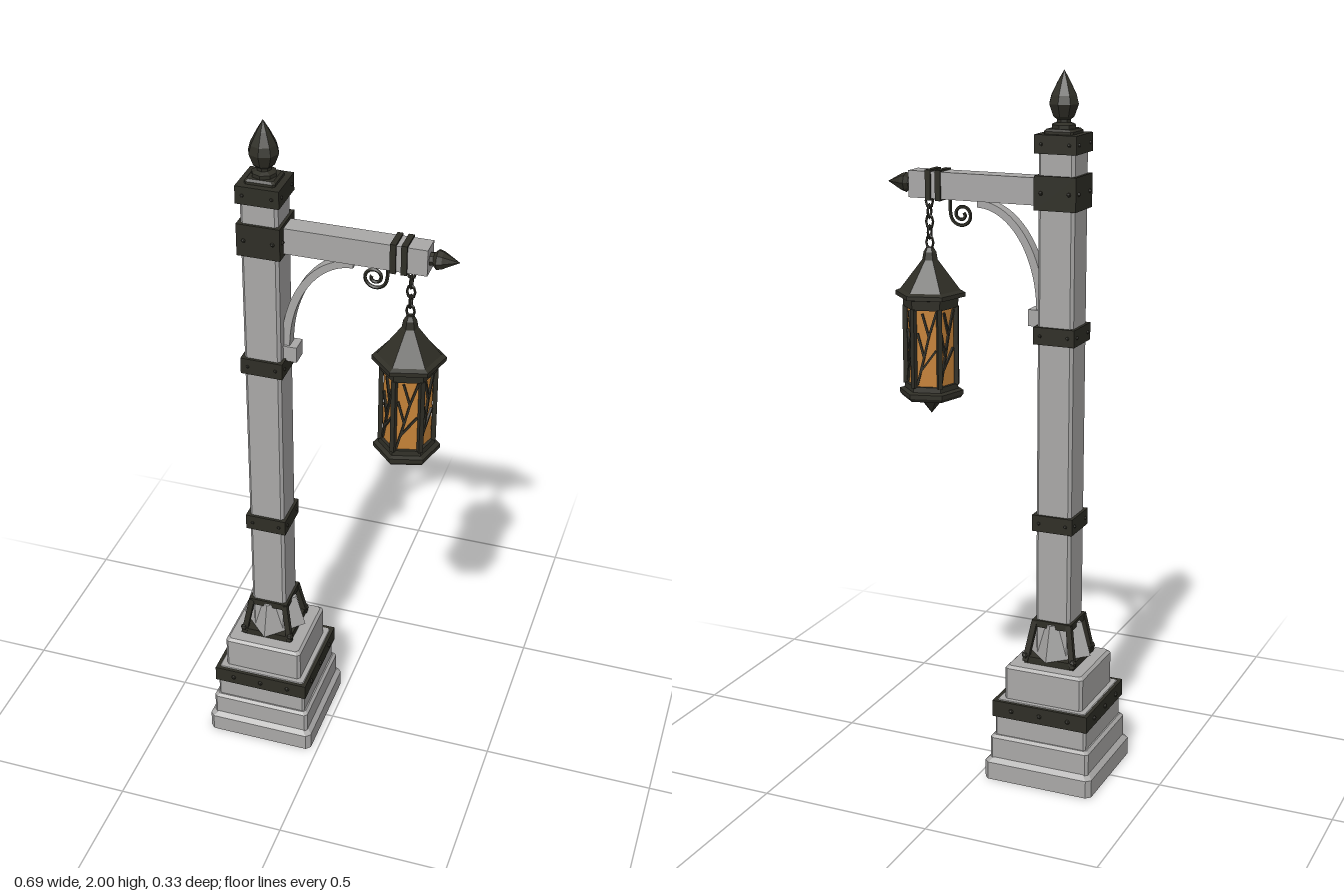
import * as THREE from 'three';
import { ConvexGeometry } from 'three/addons/geometries/ConvexGeometry.js';

const stone = new THREE.MeshStandardMaterial({ color: 0xa9a8a7 });
stone.name = 'stone';
const iron = new THREE.MeshStandardMaterial({ color: 0x2f2e26 });
iron.name = 'dark iron';
const amber = new THREE.MeshStandardMaterial({ color: 0xc58238 });
amber.name = 'amber glass';

const POST_X = -0.185, LAMP_X = 0.213;

// Adds a faceted mesh to a parent.
function add(parent, name, geometry, material, x = 0, y = 0, z = 0) {
  const g = geometry.index ? geometry.toNonIndexed() : geometry;
  g.computeVertexNormals();
  const mesh = new THREE.Mesh(g, material);
  mesh.name = name;
  mesh.position.set(x, y, z);
  parent.add(mesh);
  return mesh;
}

function group(parent, name, x = 0, y = 0, z = 0) {
  const g = new THREE.Group();
  g.name = name;
  g.position.set(x, y, z);
  parent.add(g);
  return g;
}

// Block with chamfered upright edges and a chamfered top rim.
function chamferBlock(half, y0, y1, c) {
  const points = [];
  for (const [y, inset] of [[y0, 0], [y1 - c, 0], [y1, c]]) {
    const h = half - inset;
    for (const sx of [-1, 1]) for (const sz of [-1, 1]) {
      points.push(new THREE.Vector3(sx * h, y, sz * (h - c)), new THREE.Vector3(sx * (h - c), y, sz * h));
    }
  }
  return new ConvexGeometry(points);
}

// Straight square bar between two points.
function bar(parent, name, a, b, width, depth = width) {
  const p = new THREE.Vector3(...a), q = new THREE.Vector3(...b);
  const mesh = add(parent, name, new THREE.BoxGeometry(width, p.distanceTo(q), depth), iron);
  mesh.position.copy(p).add(q).multiplyScalar(0.5);
  mesh.quaternion.setFromUnitVectors(new THREE.Vector3(0, 1, 0), q.sub(p).normalize());
  return mesh;
}

// Square iron band with a row of studs on all four sides.
function band(parent, name, half, y0, y1, studs, r) {
  const g = group(parent, name);
  const h = y1 - y0, y = (y0 + y1) / 2;
  add(g, 'strap', new THREE.BoxGeometry(half * 2, h, half * 2), iron, 0, y, 0);
  for (let side = 0; side < 4; side++) {
    const face = group(g, 'studRow', 0, y, 0);
    face.rotation.y = side * Math.PI / 2;
    for (const s of studs) add(face, 'stud', new THREE.SphereGeometry(r, 6, 4), iron, s, 0, half);
  }
}

function lathe(points, sides) {
  return new THREE.LatheGeometry(points.map(p => new THREE.Vector2(...p)), sides);
}

function buildPost(root) {
  const post = group(root, 'post', POST_X);
  // Stepped plinth
  add(post, 'plinthFoot', chamferBlock(0.163, 0, 0.065, 0.013), stone);
  add(post, 'plinthLower', chamferBlock(0.15, 0.06, 0.133, 0.008), stone);
  add(post, 'plinthMiddle', chamferBlock(0.138, 0.13, 0.24, 0.006), stone);
  add(post, 'plinthUpper', chamferBlock(0.118, 0.23, 0.34, 0.008), stone);
  band(post, 'plinthBand', 0.144, 0.19, 0.238, [-0.086, 0, 0.086], 0.007);

  // Shaft and its bands
  add(post, 'shaft', chamferBlock(0.052, 0.33, 1.83, 0.008), stone);
  band(post, 'lowerBand', 0.06, 0.735, 0.782, [-0.04, 0.04], 0.005);
  band(post, 'middleBand', 0.06, 1.27, 1.318, [-0.04, 0.04], 0.005);
  band(post, 'armBand', 0.06, 1.635, 1.727, [-0.04, 0.04], 0.006);
  band(post, 'topBand', 0.06, 1.785, 1.835, [-0.04, 0.04], 0.005);

  // Flared collar: stone wedges inside an iron cage
  add(post, 'collarWedges', new THREE.CylinderGeometry(0.07, 0.098, 0.1, 4), stone, 0, 0.41, 0);
  add(post, 'collarPlate', new THREE.BoxGeometry(0.15, 0.02, 0.15), iron, 0, 0.35, 0);
  add(post, 'collarRing', new THREE.BoxGeometry(0.118, 0.02, 0.118), iron, 0, 0.458, 0);
  for (const sx of [-1, 1]) for (const sz of [-1, 1]) {
    bar(post, 'collarStrut', [sx * 0.072, 0.345, sz * 0.072], [sx * 0.052, 0.462, sz * 0.052], 0.016);
    add(post, 'strutKnob', new THREE.SphereGeometry(0.011, 6, 4), iron, sx * 0.073, 0.362, sz * 0.073);
  }

  // Finial
  add(post, 'finialBase', chamferBlock(0.042, 1.833, 1.848, 0.006), iron);
  add(post, 'finial', lathe([[0.034, 1.845], [0.034, 1.858], [0.02, 1.864], [0.02, 1.872],
    [0.03, 1.88], [0.042, 1.912], [0.036, 1.935], [0.018, 1.97], [0, 2]], 8), iron);
}

function buildArm(root) {
  const arm = group(root, 'arm');
  add(arm, 'beam', new THREE.BoxGeometry(0.412, 0.074, 0.06), stone, 0.056, 1.68, 0);
  for (const x of [0.171, 0.201]) add(arm, 'beamBand', new THREE.BoxGeometry(0.016, 0.084, 0.07), iron, x, 1.68, 0);
  const tip = add(arm, 'beamTip', lathe([[0, 0], [0.018, 0], [0.018, 0.012], [0.028, 0.022],
    [0.024, 0.036], [0, 0.08]], 8), iron, 0.26, 1.68, 0);
  tip.rotation.z = -Math.PI / 2;

  // Curved brace under the arm
  const brace = new THREE.Shape();
  brace.absellipse(0.06, 1.35, 0.2, 0.295, Math.PI, Math.PI / 2, true);
  brace.absellipse(0.06, 1.35, 0.177, 0.275, Math.PI / 2, Math.PI, false);
  add(arm, 'brace', new THREE.ExtrudeGeometry(brace, { depth: 0.036, bevelEnabled: false, curveSegments: 14 }),
    stone, 0, 0, -0.018);
  add(arm, 'braceFoot', new THREE.BoxGeometry(0.042, 0.046, 0.05), stone, -0.116, 1.334, 0);

  // Scroll hanging below the beam
  const points = [new THREE.Vector3(0.15, 1.645, 0)];
  for (let i = 0; i <= 20; i++) {
    const a = 0 - i / 20 * Math.PI * 3.2, r = 0.034 - 0.026 * i / 20;
    points.push(new THREE.Vector3(0.114 + r * Math.cos(a), 1.6 + r * Math.sin(a), 0));
  }
  add(arm, 'scroll', new THREE.TubeGeometry(new THREE.CatmullRomCurve3(points), 48, 0.005, 5), iron);
}

function buildLantern(root) {
  const lamp = group(root, 'lantern', LAMP_X);
  // Chain of alternating links
  for (let i = 0; i < 5; i++) {
    const link = add(lamp, 'chainLink', new THREE.TorusGeometry(0.011, 0.0035, 5, 8), iron, 0, 1.632 - i * 0.029, 0);
    link.scale.y = 1.6;
    link.rotation.y = i % 2 ? Math.PI / 2 : 0;
  }

  const body = group(lamp, 'lanternBody');
  body.rotation.y = Math.PI / 4;
  add(body, 'roof', lathe([[0, 1.335], [0.078, 1.335], [0.08, 1.362], [0.1, 1.366], [0.1, 1.378], [0.086, 1.384],
    [0.022, 1.468], [0.018, 1.49], [0.01, 1.503], [0, 1.503]], 6), iron);
  add(body, 'base', lathe([[0, 1.025], [0.032, 1.065], [0.032, 1.074], [0.084, 1.074], [0.092, 1.084],
    [0.092, 1.096], [0.078, 1.1], [0.076, 1.115], [0, 1.115]], 6), iron);
  add(body, 'glass', new THREE.CylinderGeometry(0.066, 0.066, 0.226, 6, 1, true), amber, 0, 1.225, 0);

  for (let k = 0; k < 6; k++) {
    // Corner post
    const corner = group(body, 'corner');
    corner.rotation.y = k * Math.PI / 3;
    add(corner, 'cornerPost', new THREE.BoxGeometry(0.013, 0.226, 0.013), iron, 0, 1.225, 0.073);

    // Branching tracery over each pane
    const pane = group(body, 'tracery');
    pane.rotation.y = (k + 0.5) * Math.PI / 3;
    const z = 0.06;
    const twigs = [[-0.028, 1.12, -0.008, 1.2], [-0.008, 1.2, 0.006, 1.26], [0.006, 1.26, 0.028, 1.33],
      [-0.008, 1.2, -0.026, 1.27], [0.006, 1.26, -0.012, 1.325], [-0.018, 1.16, 0.026, 1.22]];
    for (const [x0, y0, x1, y1] of twigs) bar(pane, 'twig', [x0, y0, z], [x1, y1, z], 0.006, 0.006);
  }
}

export function createModel() {
  const root = new THREE.Group();
  root.name = 'streetLamp';
  buildPost(root);
  buildArm(root);
  buildLantern(root);
  return root;
}
